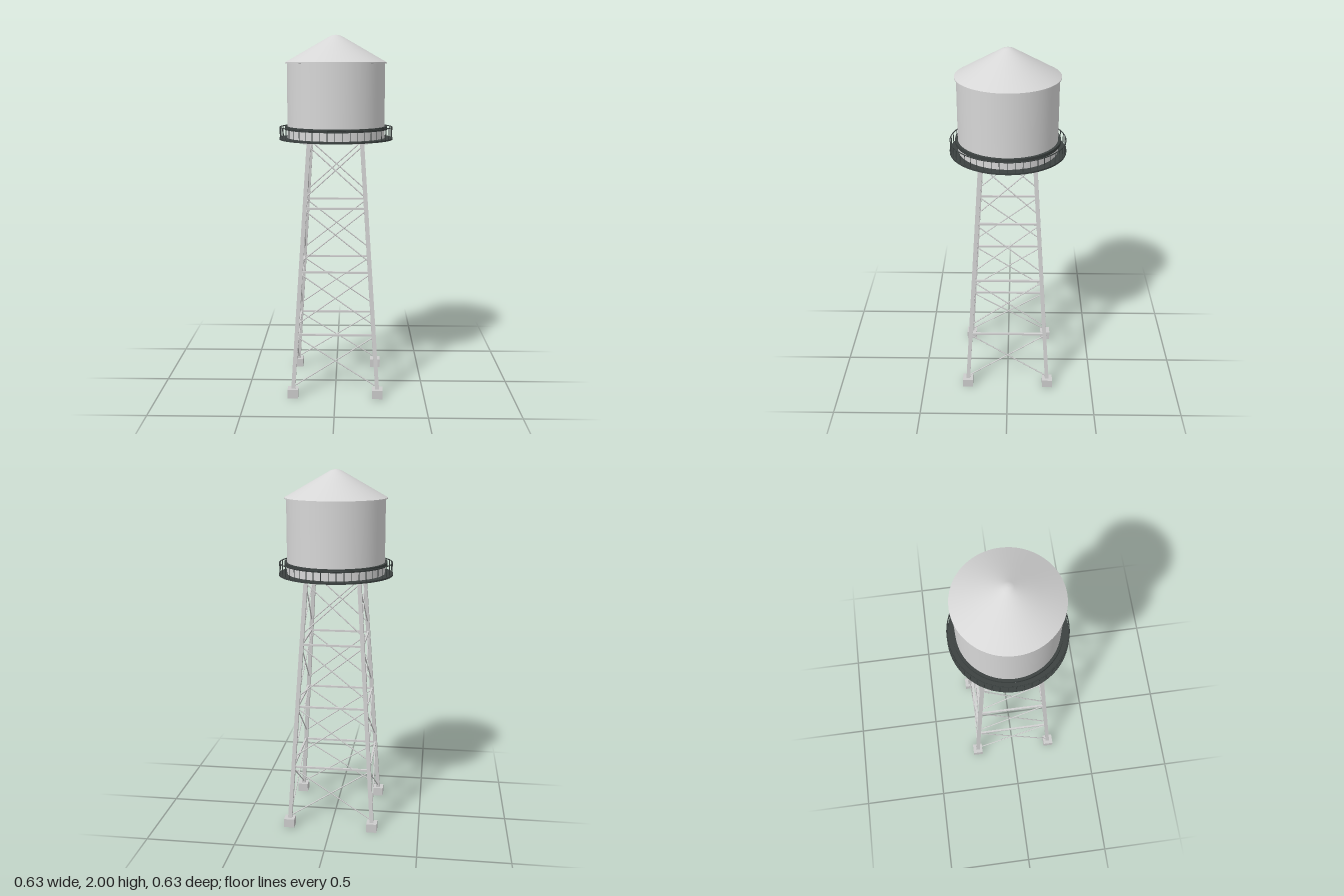
import * as THREE from 'three';

const material = (name, color) => {
  const m = new THREE.MeshStandardMaterial({ color });
  m.name = name;
  return m;
};

export function createModel() {
  const tankPaint = material('tank grey', 0xd6d6d6);
  const steel = material('tower steel', 0xd0d0d0);
  const concrete = material('footing concrete', 0xcccccc);
  const dark = material('dark walkway', 0x3c4241);

  const model = new THREE.Group();
  model.name = 'waterTower';
  const group = (name) => {
    const g = new THREE.Group();
    g.name = name;
    model.add(g);
    return g;
  };
  const add = (parent, name, geometry, mat, x = 0, y = 0, z = 0) => {
    const mesh = new THREE.Mesh(geometry, mat);
    mesh.name = name;
    mesh.position.set(x, y, z);
    parent.add(mesh);
    return mesh;
  };

  // Round rod between two points
  const up = new THREE.Vector3(0, 1, 0);
  const rod = (parent, name, a, b, radius, mat) => {
    const dir = b.clone().sub(a);
    const mesh = add(parent, name, new THREE.CylinderGeometry(radius, radius, dir.length(), 8), mat);
    mesh.position.copy(a).add(b).multiplyScalar(0.5);
    mesh.quaternion.setFromUnitVectors(up, dir.normalize());
  };

  // Flat annulus lying on the horizontal plane
  const annulus = (inner, outer, height) => {
    const shape = new THREE.Shape().absarc(0, 0, outer, 0, Math.PI * 2, false);
    shape.holes.push(new THREE.Path().absarc(0, 0, inner, 0, Math.PI * 2, true));
    const g = new THREE.ExtrudeGeometry(shape, { depth: height, bevelEnabled: false, curveSegments: 48 });
    return g.rotateX(-Math.PI / 2);
  };

  // Tank body and conical roof with a thin rim
  add(model, 'tank', new THREE.CylinderGeometry(0.27, 0.27, 0.415, 64), tankPaint, 0, 1.6425);
  const roofProfile = [[0.28, 1.852], [0.15, 1.926], [0.03, 1.994], [0.012, 1.999], [0, 2]];
  add(model, 'roof', new THREE.LatheGeometry(roofProfile.map(([r, y]) => new THREE.Vector2(r, y)), 64), tankPaint);
  add(model, 'roofRim', new THREE.CylinderGeometry(0.28, 0.28, 0.006, 64), tankPaint, 0, 1.849);

  // Walkway, tank band and railing
  const walkway = group('walkway');
  add(walkway, 'walkwayDeck', annulus(0.266, 0.316, 0.009), dark, 0, 1.431);
  add(walkway, 'tankBand', annulus(0.266, 0.285, 0.018), dark, 0, 1.486);
  const rail = new THREE.TorusGeometry(0.312, 0.003, 6, 64).rotateX(Math.PI / 2);
  add(walkway, 'handrail', rail, dark, 0, 1.499);
  const postGeometry = new THREE.CylinderGeometry(0.002, 0.002, 0.064, 6);
  const posts = 48;
  for (let i = 0; i < posts; i++) {
    const a = (i / posts) * Math.PI * 2;
    add(walkway, 'railPost', postGeometry, dark, Math.cos(a) * 0.312, 1.467, Math.sin(a) * 0.312);
  }

  // Half width of the tower at a given height
  const legBottom = 0.04, legTop = 1.42;
  const spread = (y) => 0.236 - ((y - legBottom) / (legTop - legBottom)) * 0.091;

  // Leaning square legs on concrete footings
  const legs = group('legs');
  for (const sx of [-1, 1]) {
    for (const sz of [-1, 1]) {
      const leg = new THREE.BoxGeometry(0.022, legTop - legBottom, 0.022);
      leg.translate(0, (legTop + legBottom) / 2, 0);
      const p = leg.attributes.position;
      for (let i = 0; i < p.count; i++) {
        const s = spread(p.getY(i));
        p.setX(i, p.getX(i) + sx * s);
        p.setZ(i, p.getZ(i) + sz * s);
      }
      leg.computeVertexNormals();
      add(legs, 'leg', leg, steel);
      add(legs, 'footing', new THREE.BoxGeometry(0.059, 0.05, 0.059), concrete, sx * 0.237, 0.025, sz * 0.237);
    }
  }

  // Each side: top beam, horizontal struts and crossed rods
  const levels = [0, 0.357, 0.711, 1.065, 1.415];
  for (let side = 0; side < 4; side++) {
    const bracing = group('sideBracing');
    bracing.rotation.y = (side * Math.PI) / 2;
    add(bracing, 'topBeam', new THREE.BoxGeometry(0.35, 0.016, 0.022), steel, 0, 1.424, 0.145);
    for (let i = 0; i < 4; i++) {
      const low = levels[i] + 0.06, high = levels[i + 1] - 0.01;
      const a = spread(low), b = spread(high);
      for (const s of [-1, 1]) {
        rod(bracing, 'crossRod', new THREE.Vector3(s * a, low, a), new THREE.Vector3(-s * b, high, b), 0.0035, steel);
      }
      if (i > 0) {
        const w = spread(levels[i]);
        add(bracing, 'horizontalStrut', new THREE.BoxGeometry(w * 2, 0.011, 0.011), steel, 0, levels[i], w);
      }
    }
  }

  return model;
}
